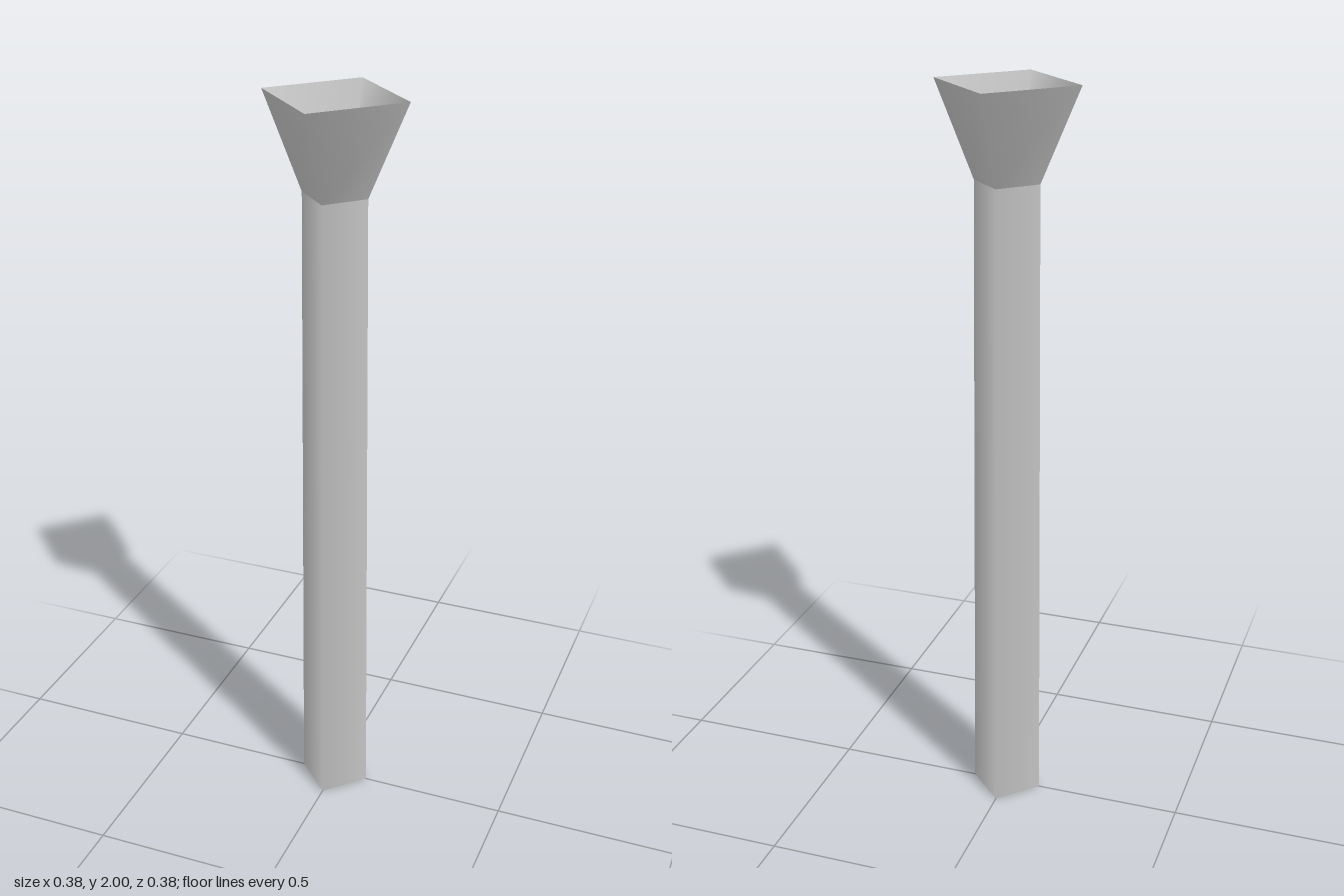
import * as THREE from 'three';

const SIDES = 4;

export function createModel() {
  const group = new THREE.Group();
  const material = new THREE.MeshStandardMaterial({ color: 0xcccccc, side: THREE.DoubleSide });

  // Open four-sided tube between two heights, corners on the x and z axes
  const addTube = (name, bottomRadius, topRadius, y0, y1) => {
    const geometry = new THREE.CylinderGeometry(topRadius, bottomRadius, y1 - y0, SIDES, 1, true);
    const mesh = new THREE.Mesh(geometry, material);
    mesh.name = name;
    mesh.position.y = (y0 + y1) / 2;
    group.add(mesh);
  };

  // Slightly tapered hollow shaft
  addTube('shaft', 0.098, 0.087, 0, 1.755);
  // Flared open funnel at the top
  addTube('funnel', 0.087, 0.19, 1.755, 2);

  return group;
}
